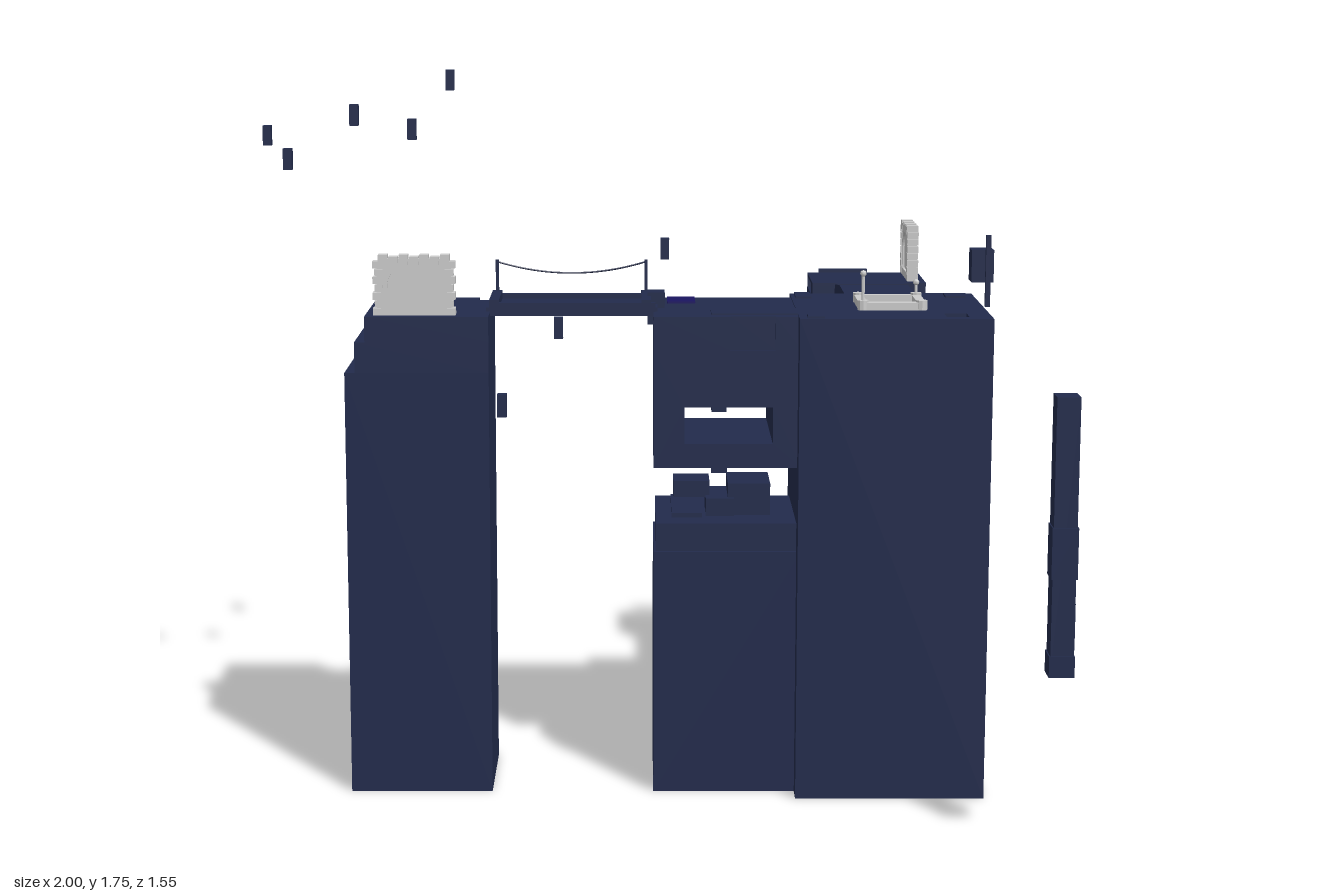
import * as THREE from 'three';

const stone = new THREE.MeshStandardMaterial({ color: 0x222b4c, flatShading: true, side: THREE.DoubleSide });
const grey = new THREE.MeshStandardMaterial({ color: 0xcccccc, flatShading: true });
const violet = new THREE.MeshStandardMaterial({ color: 0x1b1560, flatShading: true });

function add(parent, name, geometry, material = stone) {
  const mesh = new THREE.Mesh(geometry, material);
  mesh.name = name;
  parent.add(mesh);
  return mesh;
}

// Box given by its lower and upper limits on each axis
function box(parent, name, [x0, x1], [y0, y1], [z0, z1], material) {
  const g = new THREE.BoxGeometry(x1 - x0, y1 - y0, z1 - z0);
  g.translate((x0 + x1) / 2, (y0 + y1) / 2, (z0 + z1) / 2);
  return add(parent, name, g, material);
}

const rect = (x0, x1, y0, y1) => [[x0, y0], [x1, y0], [x1, y1], [x0, y1]];

function outline(points, holes = []) {
  const toVec = (p) => new THREE.Vector2(p[0], p[1]);
  const shape = new THREE.Shape(points.map(toVec));
  holes.forEach((h) => shape.holes.push(new THREE.Path(h.map(toVec))));
  return shape;
}

// Ground plan of [x, z] points raised from y0 to y1
function prism(parent, name, plan, y0, y1, holes = []) {
  const flip = (pts) => pts.map(([x, z]) => [x, -z]);
  const g = new THREE.ExtrudeGeometry(outline(flip(plan), holes.map(flip)), { depth: y1 - y0, bevelEnabled: false });
  g.rotateX(-Math.PI / 2).translate(0, y0, 0);
  return add(parent, name, g);
}

// Arched portal in a rim of uneven stones, facing +z, standing on y = 0
function makeGate() {
  const gate = new THREE.Group();
  gate.name = 'stonePortal';
  const arch = new THREE.Path();
  arch.moveTo(-0.065, 0.02);
  arch.lineTo(0.065, 0.02);
  arch.lineTo(0.065, 0.08);
  arch.absarc(0, 0.07, 0.065, 0.15, Math.PI - 0.15, false);
  const frame = outline([[-0.09, 0], [0.09, 0], [0.09, 0.12], [0.075, 0.14], [-0.075, 0.14], [-0.09, 0.12]]);
  frame.holes.push(arch);
  const g = new THREE.ExtrudeGeometry(frame, { depth: 0.024, bevelEnabled: false, curveSegments: 10 });
  add(gate, 'portalFrame', g.translate(0, 0, -0.012), grey);
  box(gate, 'portalPanel', [-0.08, 0.08], [0.005, 0.135], [-0.006, 0.006], grey);
  for (let i = 0; i < 7; i++) {
    const o = (i % 2) * 0.005;
    const y = 0.003 + i * 0.019;
    for (const s of [-1, 1]) {
      const x = s * (0.09 - o);
      box(gate, 'rimStone', [x - 0.01, x + 0.01], [y, y + 0.017], [-0.015, 0.015], grey);
    }
    const x = -0.075 + i * 0.025;
    box(gate, 'topStone', [x - 0.011, x + 0.011], [0.125, 0.15 - o], [-0.015, 0.015], grey);
  }
  return gate;
}

export function createModel() {
  const model = new THREE.Group();
  model.name = 'floatingRuins';
  const part = (name) => {
    const g = new THREE.Group();
    g.name = name;
    model.add(g);
    return g;
  };

  // Outer tower with stepped shoulder and sunken square
  const outer = part('outerTower');
  const notch = (x) => [[x, -0.08], [-0.4, -0.08], [-0.4, -0.03], [-0.36, -0.03], [-0.36, 0.275], [x, 0.275]];
  prism(outer, 'towerBase', notch(-0.71), 0, 1.055);
  prism(outer, 'towerShoulder', notch(-0.685), 1.055, 1.13);
  prism(outer, 'towerTop', notch(-0.66), 1.13, 1.192, [rect(-0.57, -0.48, 0.04, 0.16)]);
  box(outer, 'pitStone', [-0.515, -0.49], [1.13, 1.17], [0.085, 0.11]);

  // Bridge with rails, planks and one hanging rope
  const bridge = part('bridge');
  box(bridge, 'deck', [-0.37, 0.05], [1.182, 1.202], [0.01, 0.18]);
  for (const z of [0.0, 0.172]) box(bridge, 'rail', [-0.36, 0.045], [1.182, 1.214], [z, z + 0.018]);
  for (const x of [-0.35, 0.022]) {
    box(bridge, 'ropePost', [x - 0.004, x + 0.004], [1.18, 1.3], [0.01, 0.018]);
    box(bridge, 'endBeam', [x - 0.012, x + 0.012], [1.195, 1.222], [0, 0.19]);
  }
  box(bridge, 'bridgeAnchor', [0.025, 0.068], [1.15, 1.23], [0.06, 0.115]);
  const rope = new THREE.QuadraticBezierCurve3(
    new THREE.Vector3(-0.35, 1.295, 0.014), new THREE.Vector3(-0.164, 1.238, 0.014), new THREE.Vector3(0.022, 1.295, 0.014));
  add(bridge, 'rope', new THREE.TubeGeometry(rope, 24, 0.0022, 5));

  // Broken middle tower: base, debris in the break, pierced upper block
  const mid = part('brokenTower');
  box(mid, 'lowerBlock', [0.04, 0.4], [0, 0.61], [-0.08, 0.275]);
  box(mid, 'lowerCap', [0.045, 0.4], [0.61, 0.68], [-0.07, 0.265]);
  box(mid, 'debris', [0.225, 0.33], [0.68, 0.76], [0.02, 0.17]);
  box(mid, 'debris', [0.09, 0.18], [0.72, 0.76], [0.04, 0.14]);
  box(mid, 'debris', [0.17, 0.24], [0.68, 0.725], [0.03, 0.18]);
  box(mid, 'debris', [0.085, 0.16], [0.68, 0.692], [-0.03, 0.2]);
  box(mid, 'hangingStub', [0.185, 0.225], [0.775, 0.83], [0.07, 0.11]);
  const upper = outline(rect(0.04, 0.4, 0.82, 1.11), [rect(0.115, 0.33, 0.88, 0.97)]);
  const upperGeometry = new THREE.ExtrudeGeometry(upper, { depth: 0.355, bevelEnabled: false });
  add(mid, 'upperBlock', upperGeometry.translate(0, 0, -0.08));
  box(mid, 'windowStub', [0.185, 0.222], [0.93, 0.98], [0.07, 0.11]);
  prism(mid, 'upperCap', [[0.04, -0.08], [0.4, -0.08], [0.4, 0.275], [0.335, 0.275], [0.335, 0.268],
    [0.225, 0.268], [0.225, 0.275], [0.04, 0.275]], 1.11, 1.192);
  box(mid, 'terrace', [0.18, 0.47], [1.19, 1.196], [0.15, 0.24]);
  box(mid, 'violetTile', [0.075, 0.145], [1.188, 1.197], [-0.06, 0.035], violet);

  // Main tower with two shafts running right through it
  const main = part('mainTower');
  prism(main, 'towerBody', rect(0.39, 0.855, -0.13, 0.335), 0, 1.195,
    [rect(0.745, 0.8, 0.235, 0.295), rect(0.665, 0.715, 0.08, 0.15)]);
  box(main, 'cornerStone', [0.4, 0.44], [1.19, 1.2], [-0.12, -0.04]);
  box(main, 'cornerStone', [0.41, 0.45], [1.19, 1.2], [0.28, 0.32]);
  box(main, 'cornerStone', [0.78, 0.83], [1.19, 1.2], [-0.11, -0.05]);

  // Grey square ring with corner balls and two posts
  const ring = part('squareRing');
  for (const s of [-1, 1]) {
    const x = 0.625 + s * 0.072;
    const z = 0.1 + s * 0.072;
    box(ring, 'ringBar', [x - 0.011, x + 0.011], [1.195, 1.214], [0.028, 0.172], grey);
    box(ring, 'ringBar', [0.553, 0.697], [1.195, 1.214], [z - 0.011, z + 0.011], grey);
    for (const t of [-1, 1]) {
      add(ring, 'cornerPiece', new THREE.CylinderGeometry(0.014, 0.014, 0.024, 10), grey)
        .position.set(x, 1.207, 0.1 + t * 0.072);
    }
  }
  for (const [x, z, h] of [[0.553, 0.172, 1.285], [0.697, 0.028, 1.245]]) {
    add(ring, 'ringPost', new THREE.CylinderGeometry(0.004, 0.004, h - 1.2, 8), grey).position.set(x, (h + 1.2) / 2, z);
    add(ring, 'postKnob', new THREE.SphereGeometry(0.008, 8, 6), grey).position.set(x, h, z);
  }

  // Walkway wing sloping down to the rear tower
  const wing = part('walkway');
  const side = outline([[0.12, 0], [0.5, 0], [0.5, 1.172], [0.3, 1.195], [0.12, 1.195]]);
  const sideGeometry = new THREE.ExtrudeGeometry(side, { depth: 0.18, bevelEnabled: false });
  add(wing, 'walkwayBody', sideGeometry.rotateY(Math.PI / 2).translate(0.53, 0, 0));
  for (const z of [-0.32, -0.34, -0.41, -0.43]) {
    const y = 1.195 - (-0.3 - z) * 0.115;
    box(wing, 'stepEdge', [0.53, 0.71], [y - 0.01, y + 0.003], [z - 0.005, z + 0.005]);
  }

  // Rear tower with a slit below its roof slab
  const rear = part('rearTower');
  box(rear, 'towerBody', [0.47, 0.77], [0, 1.14], [-0.7, -0.475]);
  box(rear, 'frontRidge', [0.47, 0.77], [1.14, 1.175], [-0.54, -0.475]);
  box(rear, 'frontLedge', [0.585, 0.775], [1.135, 1.178], [-0.537, -0.482]);
  box(rear, 'backRidge', [0.47, 0.77], [1.14, 1.175], [-0.7, -0.685]);
  box(rear, 'roofSlab', [0.47, 0.775], [1.17, 1.178], [-0.7, -0.475]);

  // Portals
  const gateA = makeGate();
  gateA.position.set(-0.54, 1.19, 0.24);
  const gateB = makeGate();
  gateB.position.set(0.74, 1.178, -0.595);
  gateB.rotation.y = Math.PI / 2;
  model.add(gateA, gateB);

  // Hovering beams and blocks around the main and rear towers
  const hover = part('hoveringBlocks');
  box(hover, 'hoverCube', [0.83, 0.885], [1.25, 1.33], [0.012, 0.07]);
  box(hover, 'uprightBeam', [0.85, 0.862], [1.205, 1.38], [0.178, 0.19]);
  box(hover, 'lengthBeam', [0.865, 0.877], [1.292, 1.304], [-0.217, -0.048]);
  box(hover, 'crossBeam', [0.738, 0.855], [1.14, 1.18], [-0.26, -0.243]);
  box(hover, 'crossBeam', [0.505, 0.64], [1.14, 1.18], [-0.775, -0.758]);

  // Hovering pillar with thin raised strips
  const pillar = part('hoveringPillar');
  box(pillar, 'pillarBody', [0.943, 0.997], [0.435, 1.08], [0.713, 0.772]);
  box(pillar, 'pillarBand', [0.94, 1.0], [0.66, 0.78], [0.711, 0.775]);
  box(pillar, 'pillarFoot', [0.94, 0.999], [0.43, 0.48], [0.711, 0.775]);
  box(pillar, 'pillarStrip', [0.96, 1.0], [0.49, 0.6], [0.73, 0.757]);

  // Small drifting stones
  const stones = part('driftingStones');
  const spots = [[-0.99, 1.57, -0.52], [-0.87, 1.55, 0], [-0.71, 1.655, -0.065], [-0.57, 1.615, -0.12],
    [-0.49, 1.725, -0.38], [0.07, 1.315, -0.1], [-0.315, 1.02, 0.53], [-0.195, 1.14, 0.1]];
  for (const p of spots) {
    add(stones, 'driftingStone', new THREE.BoxGeometry(0.022, 0.053, 0.026)).position.set(...p);
  }
  return model;
}
